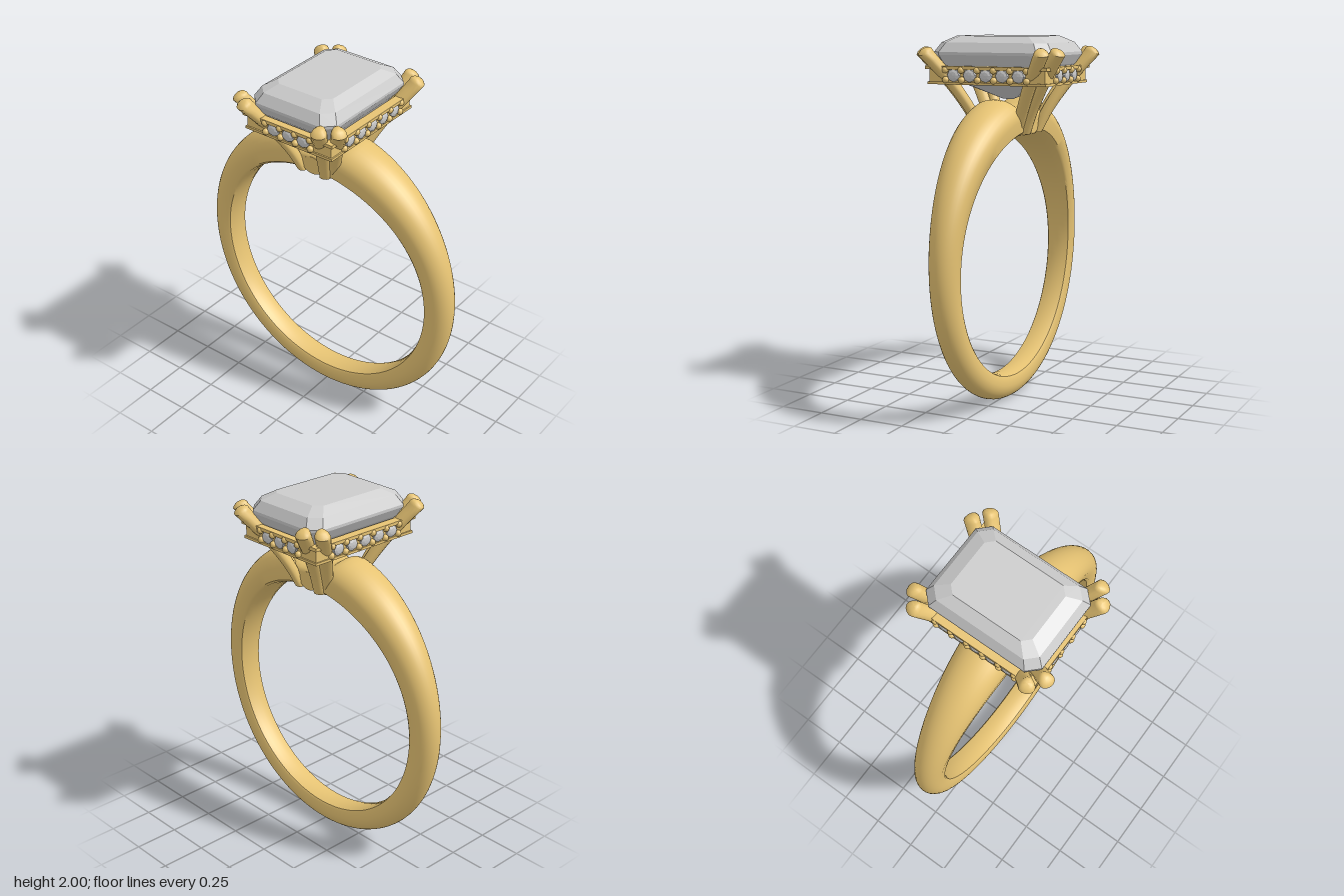
import * as THREE from 'three';
import { toCreasedNormals } from 'three/addons/utils/BufferGeometryUtils.js';

const gold = new THREE.MeshStandardMaterial({ color: 0xe6c373 });
const stone = new THREE.MeshStandardMaterial({ color: 0xcccccc, flatShading: true });

// Skin a list of equal-length rings; either joined end to end or capped
function loft(rings, joined = false) {
  const n = rings[0].length, m = rings.length, index = [];
  for (let i = 0; i < (joined ? m : m - 1); i++) {
    for (let j = 0; j < n; j++) {
      const k = (j + 1) % n, i2 = (i + 1) % m;
      const a = i * n + j, b = i * n + k, c = i2 * n + j, d = i2 * n + k;
      index.push(a, b, c, b, d, c);
    }
  }
  if (!joined) {
    const t = (m - 1) * n;
    for (let j = 1; j < n - 1; j++) index.push(0, j + 1, j, t, t + j, t + j + 1);
  }
  const g = new THREE.BufferGeometry();
  g.setAttribute('position', new THREE.Float32BufferAttribute(rings.flat(2), 3));
  g.setIndex(index);
  g.computeVertexNormals();
  return g;
}

function add(parent, name, geometry, material, x = 0, y = 0, z = 0) {
  const mesh = new THREE.Mesh(geometry, material);
  mesh.name = name;
  mesh.position.set(x, y, z);
  parent.add(mesh);
  return mesh;
}

// Domed band that widens and thickens toward the top
function bandGeometry() {
  const rings = [], steps = 144;
  for (let i = 0; i < steps; i++) {
    const a = (i / steps) * Math.PI * 2;
    const rise = ((1 + Math.cos(a)) / 2) ** 4;
    const w = 0.071 + 0.079 * rise;
    const dip = Math.cos(a) > 0 ? 1 - THREE.MathUtils.smoothstep(Math.abs(Math.sin(a)), 0.09, 0.2) : 0;
    const outer = 0.81 + 0.07 * rise - 0.07 * dip;
    const edge = 0.73 + 0.03 * rise;
    const section = [];
    for (let j = 0; j <= 16; j++) {
      const p = -Math.PI / 2 + (j / 16) * Math.PI;
      section.push([edge + (outer - edge) * Math.cos(p), w * Math.sin(p)]);
    }
    section.push([0.69, 0.95 * w], [0.678, 0.85 * w], [0.67, 0.45 * w], [0.668, 0]);
    section.push([0.67, -0.45 * w], [0.678, -0.85 * w], [0.69, -0.95 * w]);
    rings.push(section.map(([r, z]) => [r * Math.sin(a), 0.81 + r * Math.cos(a), z]));
  }
  return toCreasedNormals(loft(rings, true), 0.7);
}

// Rectangle with cut corners at one height
function cutRect(x, z, c, y) {
  return [[x, y, z - c], [x, y, c - z], [x - c, y, -z], [c - x, y, -z],
    [-x, y, c - z], [-x, y, z - c], [c - x, y, z], [x - c, y, z]];
}

// Claw that sweeps up and outward, ending in a rounded tip
function prongGeometry(path, dir, sx, sz) {
  const curve = new THREE.CatmullRomCurve3(path.map(p => new THREE.Vector3(p[0] * sx, p[1], p[2] * sz)));
  const d = new THREE.Vector2(dir[0] * sx, dir[1] * sz).normalize();
  const stations = [];
  for (let i = 0; i <= 14; i++) stations.push([i / 14, 1, 0]);
  stations.push([1, 0.85, 0.013], [1, 0.55, 0.023], [1, 0.12, 0.028]);
  const rings = stations.map(([t, s, lift]) => {
    const p = curve.getPoint(t), ring = [];
    const r = (0.028 + 0.012 * t) * s;
    for (let j = 0; j < 14; j++) {
      const a = (j / 14) * Math.PI * 2;
      const u = Math.cos(a) * r, v = Math.sin(a) * r * (1 + 0.25 * Math.cos(a));
      ring.push([p.x + d.x * u - d.y * -v, p.y + lift - u * 0.35 * t, p.z + d.y * u - d.x * v]);
    }
    return ring;
  });
  return toCreasedNormals(loft(rings), 0.9);
}

function rect(Type, x, z) {
  const p = new Type();
  p.moveTo(-x, -z); p.lineTo(x, -z); p.lineTo(x, z); p.lineTo(-x, z); p.closePath();
  return p;
}

// Flat rectangular frame with an opening, lying in the xz plane
function frameGeometry(x, z, holeX, holeZ, height) {
  const shape = rect(THREE.Shape, x, z);
  shape.holes.push(rect(THREE.Path, holeX, holeZ));
  return new THREE.ExtrudeGeometry(shape, { depth: height, bevelEnabled: false }).rotateX(-Math.PI / 2);
}

export function createModel() {
  const ring = new THREE.Group();
  ring.name = 'ring';
  add(ring, 'band', bandGeometry(), gold);

  // Base of the setting
  add(ring, 'settingBase', frameGeometry(0.1, 0.12, 0.022, 0.06, 0.03), gold, 0, 1.47, 0);
  const bridge = new THREE.CylinderGeometry(0.066, 0.066, 0.3, 32).rotateX(Math.PI / 2).scale(1, 0.75, 1);
  add(ring, 'settingBridge', bridge, gold, 0, 1.528, 0);

  // Step-cut centre stone
  const cut = loft([
    cutRect(0.006, 0.03, 0.003, 1.66),
    cutRect(0.15, 0.215, 0.035, 1.745),
    cutRect(0.232, 0.317, 0.05, 1.85),
    cutRect(0.262, 0.345, 0.06, 1.9),
    cutRect(0.262, 0.345, 0.06, 1.915),
    cutRect(0.232, 0.312, 0.055, 1.965),
    cutRect(0.175, 0.24, 0.04, 2),
  ]);
  add(ring, 'centreStone', cut.toNonIndexed(), stone);

  // Paired prongs at the four corners
  const prongs = new THREE.Group();
  prongs.name = 'prongs';
  ring.add(prongs);
  const endPath = [[0.075, 1.48, 0.135], [0.105, 1.6, 0.185], [0.16, 1.75, 0.272], [0.235, 1.912, 0.39]];
  const sidePath = [[0.1, 1.48, 0.1], [0.145, 1.6, 0.15], [0.215, 1.75, 0.228], [0.31, 1.912, 0.335]];
  for (const sx of [-1, 1]) {
    for (const sz of [-1, 1]) {
      add(prongs, 'endProng', prongGeometry(endPath, [0.35, 0.94], sx, sz), gold);
      add(prongs, 'sideProng', prongGeometry(sidePath, [0.85, 0.5], sx, sz), gold);
    }
  }

  // Gallery: two rails around a recessed wall
  add(ring, 'upperRail', frameGeometry(0.285, 0.355, 0.235, 0.315, 0.018), gold, 0, 1.824, 0);
  add(ring, 'galleryWall', frameGeometry(0.268, 0.338, 0.235, 0.305, 0.07), gold, 0, 1.756, 0);
  add(ring, 'lowerRail', frameGeometry(0.276, 0.346, 0.235, 0.305, 0.014), gold, 0, 1.745, 0);

  // Small stones with pairs of beads between them, on all four sides
  const gem = new THREE.SphereGeometry(0.04, 8, 6).rotateX(Math.PI / 2).scale(1, 0.9, 0.4);
  const bead = new THREE.SphereGeometry(0.018, 12, 8);
  const sides = [[0, 0.34, 3], [Math.PI / 2, 0.27, 5], [Math.PI, 0.34, 3], [-Math.PI / 2, 0.27, 5]];
  for (const [turn, out, count] of sides) {
    const row = new THREE.Group();
    row.name = 'accentRow';
    row.rotation.y = turn;
    for (let i = 0; i < count; i++) {
      add(row, 'accentStone', gem, stone, (i - (count - 1) / 2) * 0.095, 1.795, out);
    }
    for (let i = 0; i <= count; i++) {
      const x = (i - count / 2) * 0.095;
      add(row, 'upperBead', bead, gold, x, 1.822, out + 0.008);
      add(row, 'lowerBead', bead, gold, x, 1.77, out + 0.004);
    }
    ring.add(row);
  }
  return ring;
}
